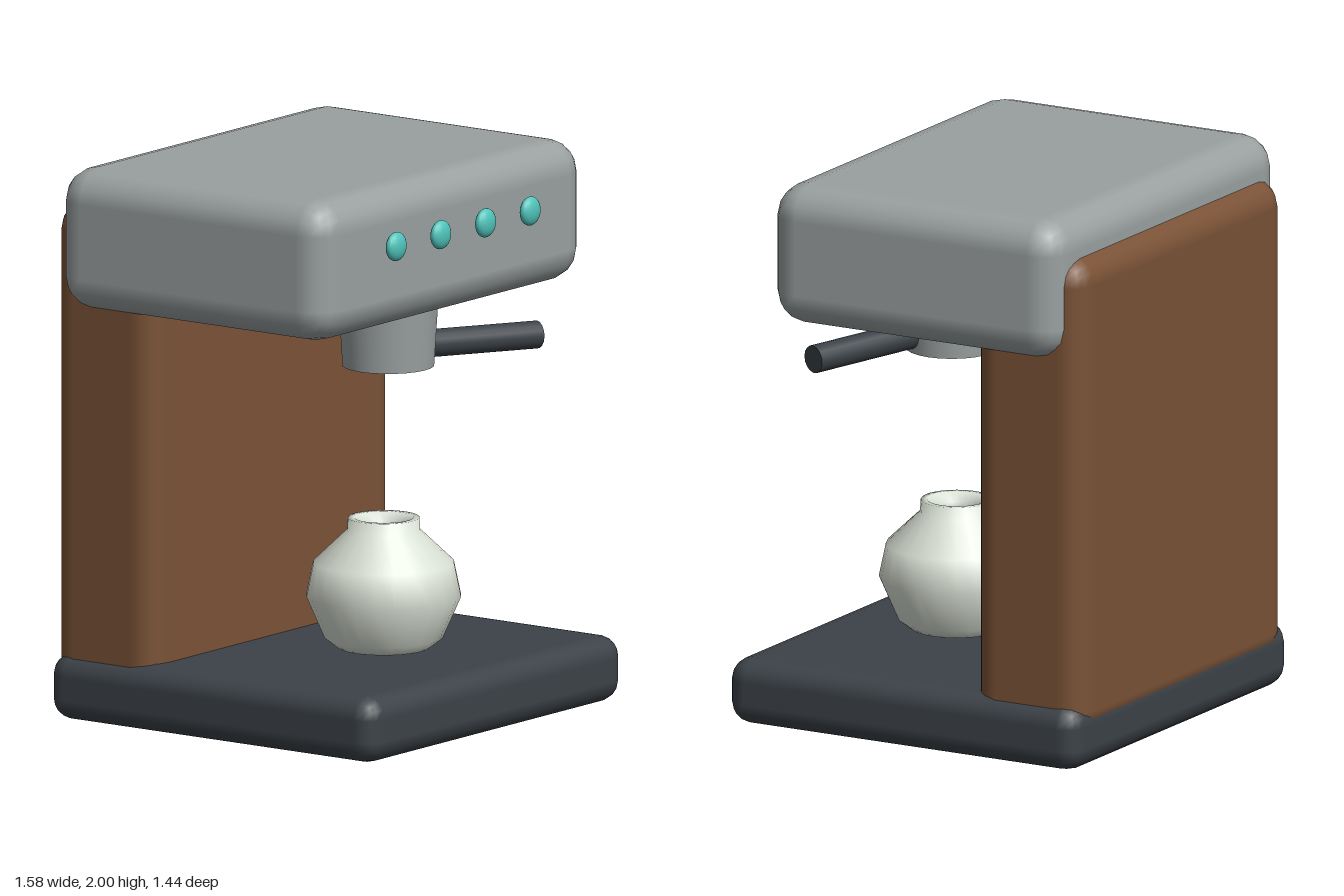
import * as THREE from 'three';
import { RoundedBoxGeometry } from 'three/addons/geometries/RoundedBoxGeometry.js';

const mat = (name, color, side = THREE.FrontSide) => {
  const m = new THREE.MeshStandardMaterial({ color, side });
  m.name = name;
  return m;
};

export function createModel() {
  const model = new THREE.Group();
  model.name = 'espressoMachine';
  const steel = mat('steel grey', 0x9aa0a0);
  const charcoal = mat('charcoal', 0x3c4248);
  const wood = mat('walnut brown', 0x7a5236);
  const teal = mat('teal', 0x4fc4bb);
  const ceramic = mat('ceramic cream', 0xdbe2d6, THREE.DoubleSide);

  const add = (name, geometry, material, x = 0, y = 0, z = 0) => {
    const mesh = new THREE.Mesh(geometry, material);
    mesh.name = name;
    mesh.position.set(x, y, z);
    model.add(mesh);
    return mesh;
  };

  // Rounded block given by its extents
  const block = (name, material, w, [y0, y1], [z0, z1], r) =>
    add(name, new RoundedBoxGeometry(w, y1 - y0, z1 - z0, 2, r), material, 0, (y0 + y1) / 2, (z0 + z1) / 2);

  block('base', charcoal, 1.51, [0, 0.24], [-0.72, 0.72], 0.08);
  block('backBody', wood, 1.44, [0.11, 1.86], [-0.722, -0.27], 0.1);
  block('head', steel, 1.58, [1.49, 2], [-0.66, 0.53], 0.12);

  // Brew group under the head
  add('brewGroup', new THREE.CylinderGeometry(0.18, 0.163, 0.27, 24), steel, 0, 1.405, 0.23);

  // Handle running forward and to the side
  const start = new THREE.Vector3(0.125, 1.337, 0.31);
  const end = new THREE.Vector3(0.555, 1.319, 0.47);
  const axis = end.clone().sub(start);
  const handle = add('handle', new THREE.CylinderGeometry(0.05, 0.05, axis.length(), 16), charcoal);
  handle.position.copy(start).add(end).multiplyScalar(0.5);
  handle.quaternion.setFromUnitVectors(new THREE.Vector3(0, 1, 0), axis.normalize());

  // Round jug with a thick hollow rim
  const profile = [
    [0, 0.255], [0.165, 0.255], [0.21, 0.29], [0.275, 0.44], [0.25, 0.56],
    [0.13, 0.675], [0.127, 0.72], [0.105, 0.72], [0.07, 0.69], [0.07, 0.64], [0.15, 0.56],
    [0.18, 0.42], [0.12, 0.3], [0, 0.29],
  ].map(([r, y]) => new THREE.Vector2(r, y));
  add('jug', new THREE.LatheGeometry(profile, 24), ceramic, 0, 0, 0.21);

  // Row of control buttons
  for (const x of [-0.395, -0.132, 0.132, 0.395]) {
    add('button', new THREE.SphereGeometry(0.052, 16, 12), teal, x, 1.8, 0.56).scale.z = 0.5;
  }

  return model;
}
